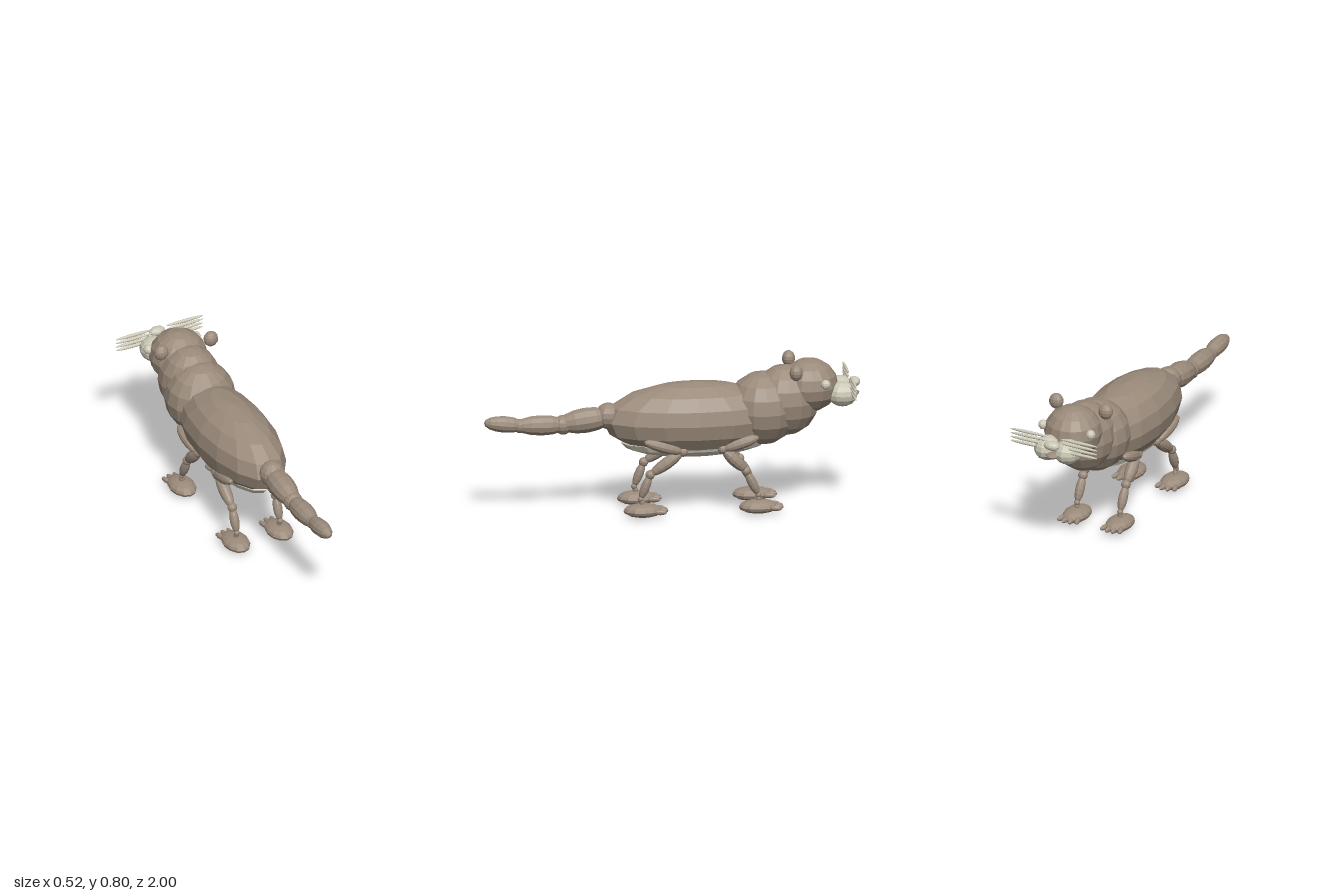
import * as THREE from 'three';

export function createModel() {
  const model = new THREE.Group();
  model.name = 'animal';
  const make = (name, color) => {
    const m = new THREE.MeshStandardMaterial({ color, flatShading: true });
    m.name = name;
    return m;
  };
  const fur = make('brown fur', 0x9a8a7a);
  const pale = make('pale cream', 0xccc8b6);

  const large = new THREE.SphereGeometry(1, 16, 8);
  const small = new THREE.SphereGeometry(1, 12, 8);

  // Axis-aligned ellipsoid from centre and radii
  function blob(name, mat, p, r, geo = small, parent = model) {
    const mesh = new THREE.Mesh(geo, mat);
    mesh.name = name;
    mesh.position.set(...p);
    mesh.scale.set(...r);
    parent.add(mesh);
    return mesh;
  }

  // Ellipsoid stretched between two points
  function limb(name, mat, a, b, radius, parent = model) {
    const from = new THREE.Vector3(...a), to = new THREE.Vector3(...b);
    const dir = to.clone().sub(from);
    const mid = from.clone().add(to).multiplyScalar(0.5);
    const mesh = blob(name, mat, mid.toArray(), [radius, dir.length() / 2, radius], small, parent);
    mesh.quaternion.setFromUnitVectors(new THREE.Vector3(0, 1, 0), dir.normalize());
    return mesh;
  }

  // Trunk, neck and head, facing -z
  blob('body', fur, [0, 0.498, -0.12], [0.203, 0.198, 0.49], large);
  blob('belly', pale, [0, 0.375, -0.12], [0.15, 0.08, 0.392], large);
  blob('chest', fur, [0, 0.54, -0.48], [0.19, 0.195, 0.19], large);
  blob('neck', fur, [0, 0.58, -0.6], [0.165, 0.19, 0.18], large);
  blob('head', fur, [0, 0.655, -0.725], [0.155, 0.143, 0.155], large);

  // Face
  blob('nose', pale, [0, 0.665, -0.967], [0.046, 0.025, 0.03]);
  blob('lowerLip', fur, [0, 0.605, -0.945], [0.04, 0.018, 0.048]);
  for (const s of [-1, 1]) {
    blob('ear', fur, [s * 0.147, 0.762, -0.637], [0.04, 0.043, 0.035]);
    blob('eye', pale, [s * 0.142, 0.69, -0.795], [0.025, 0.026, 0.026]);
    blob('cheek', pale, [s * 0.06, 0.615, -0.895], [0.072, 0.066, 0.08]);
    for (let i = 0; i < 4; i++) {
      const y = 0.633 + i * 0.0225;
      limb('whisker', pale, [s * 0.04, y, -0.94], [s * 0.26, y, -0.94], 0.009);
    }
  }

  // Tail: tapering segments with a ball at each joint
  const tail = [[0, 0.525, 0.34], [0, 0.485, 0.58], [0, 0.487, 0.808], [0, 0.51, 1.0]];
  const thick = [0.068, 0.055, 0.045], joints = [0.07, 0.052, 0.038];
  for (let i = 0; i < 3; i++) {
    const end = [0, tail[i + 1][1], tail[i + 1][2] + (i < 2 ? 0.03 : 0)];
    const start = [0, tail[i][1], tail[i][2] - 0.03];
    limb('tailSegment', fur, start, end, thick[i]);
    const r = joints[i];
    blob('tailJoint', fur, tail[i], [r, r, r]);
  }

  // Legs: [y, z] of hip, knee, hock and ankle, then foot z
  function leg(name, side, hip, knee, hock, ankle, footZ) {
    const g = new THREE.Group();
    g.name = name;
    model.add(g);
    const x = side * 0.128;
    const at = (p, px = x) => [px, p[0], p[1]];
    limb('thigh', fur, at(hip, side * 0.15), at(knee, side * 0.14), 0.032, g);
    blob('knee', fur, at(knee), [0.029, 0.027, 0.027], small, g);
    limb('shin', fur, at(knee), at(hock), 0.033, g);
    blob('hock', fur, at(hock), [0.026, 0.025, 0.025], small, g);
    limb('lowerLeg', fur, at(hock), at(ankle), 0.025, g);
    blob('ankle', fur, at(ankle), [0.016, 0.016, 0.016], small, g);
    limb('ankleStem', fur, at(ankle), [x, 0.06, footZ], 0.014, g);
    blob('foot', fur, [x, 0.038, footZ], [0.07, 0.037, 0.105], small, g);
    for (let i = 0; i < 4; i++) {
      const t = (i - 1.5) / 1.5;
      const tz = footZ - 0.1 + Math.abs(t) * 0.018;
      const toe = blob('toe', fur, [x + t * 0.046, 0.036, tz], [0.014, 0.015, 0.038], small, g);
      toe.rotation.y = -t * 0.25;
    }
  }
  for (const s of [-1, 1]) {
    leg('hindLeg', s, [0.415, 0.17], [0.35, -0.04], [0.23, 0.135], [0.1, 0.185], 0.172);
    leg('frontLeg', s, [0.42, -0.44], [0.357, -0.25], [0.232, -0.375], [0.1, -0.44], -0.44);
  }
  return model;
}
